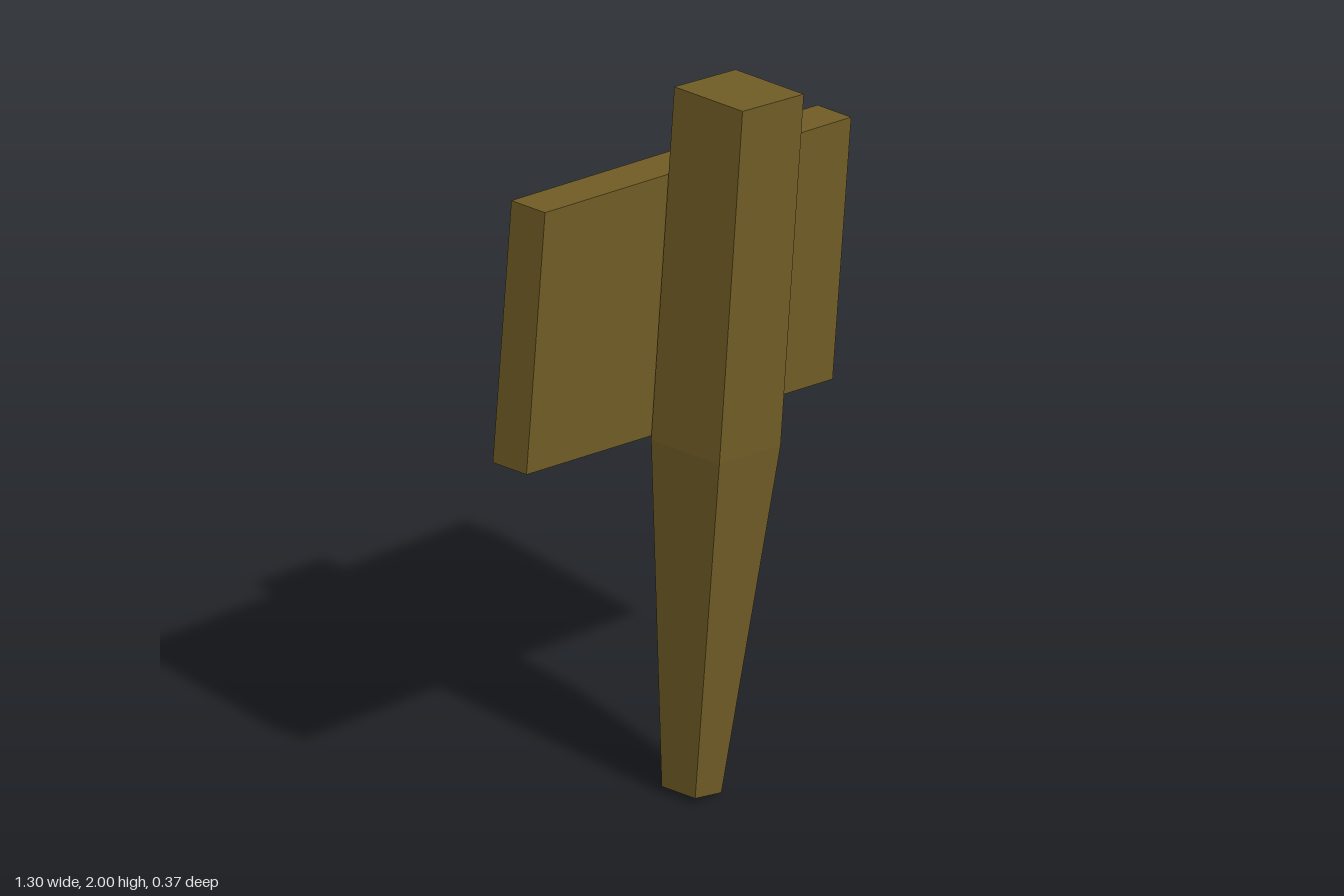
import * as THREE from 'three';

const paint = (color) => new THREE.MeshStandardMaterial({ color, flatShading: true, side: THREE.DoubleSide });

// Four-sided post lofted through rings of [left x, left y, right x, right y, back z, front z]
function postGeometry(rings) {
  const pos = [], index = [];
  for (const [xl, yl, xr, yr, zb, zf] of rings) {
    pos.push(xl, yl, zf, xr, yr, zf, xr, yr, zb, xl, yl, zb);
  }
  for (let r = 0; r < rings.length - 1; r++) {
    for (let i = 0; i < 4; i++) {
      const a = r * 4 + i, b = r * 4 + (i + 1) % 4;
      index.push(a, b, b + 4, a, b + 4, a + 4);
    }
  }
  const t = (rings.length - 1) * 4;
  index.push(0, 2, 1, 0, 3, 2, t, t + 1, t + 2, t, t + 2, t + 3);
  const indexed = new THREE.BufferGeometry();
  indexed.setAttribute('position', new THREE.Float32BufferAttribute(pos, 3));
  indexed.setIndex(index);
  const g = indexed.toNonIndexed();
  g.computeVertexNormals();
  return g;
}

export function createModel() {
  const model = new THREE.Group();
  model.name = 'signpost';
  const wood = paint(0x705c25), cream = paint(0xa89572), dark = paint(0x403822);
  const add = (parent, name, geometry, material) => {
    const mesh = new THREE.Mesh(geometry, material);
    mesh.name = name;
    parent.add(mesh);
    return mesh;
  };

  // Leaning post, tapered to a stake below the board
  add(model, 'post', postGeometry([
    [-0.185, 0.017, -0.08, 0, 0.02, 0.14],
    [-0.155, 1.0, 0.09, 0.975, -0.045, 0.2],
    [-0.062, 2.0, 0.183, 1.97, -0.045, 0.2],
  ]), wood);

  // Tilted board fixed behind the post
  const W = 1.231, H = 0.744, D = 0.121;
  const sign = new THREE.Group();
  sign.name = 'sign';
  sign.position.set(0, 1.368, -0.109);
  sign.rotation.z = -0.1;
  model.add(sign);
  add(sign, 'board', new THREE.BoxGeometry(W, H, D), wood);

  // Painted face on the back of the board
  const face = new THREE.Group();
  face.name = 'signFace';
  face.rotation.y = Math.PI;
  face.position.z = -D / 2;
  sign.add(face);
  add(face, 'panel', new THREE.PlaneGeometry(W * 0.906, H * 0.83), cream).position.z = 0.002;

  // Flat marks; points run as fractions across and down the board
  const mark = (name, points) => {
    const shape = new THREE.Shape(points.map(([u, v]) => new THREE.Vector2((u - 0.5) * W, (0.5 - v) * H)));
    add(face, name, new THREE.ShapeGeometry(shape), dark).position.z = 0.004;
  };
  mark('arrowShaft', [[0.144, 0.49], [0.478, 0.462], [0.44, 0.56], [0.148, 0.505]]);
  mark('arrowUpperBarb', [[0.09, 0.505], [0.243, 0.258], [0.262, 0.292], [0.111, 0.5]]);
  mark('arrowLowerBarb', [[0.09, 0.505], [0.111, 0.5], [0.306, 0.66], [0.292, 0.719]]);

  // Scratched strokes beside the arrow
  [
    [[0.63, 0.231], [0.658, 0.216], [0.66, 0.373]],
    [[0.683, 0.257], [0.7, 0.323], [0.683, 0.438]],
    [[0.824, 0.226], [0.812, 0.332], [0.767, 0.376]],
    [[0.846, 0.22], [0.871, 0.442], [0.85, 0.432]],
    [[0.558, 0.645], [0.618, 0.638], [0.617, 0.657]],
    [[0.665, 0.578], [0.675, 0.583], [0.664, 0.721]],
    [[0.77, 0.612], [0.758, 0.734], [0.721, 0.712]],
    [[0.827, 0.549], [0.875, 0.647], [0.864, 0.744]],
  ].forEach((points, i) => mark(`stroke${i + 1}`, points));

  return model;
}
